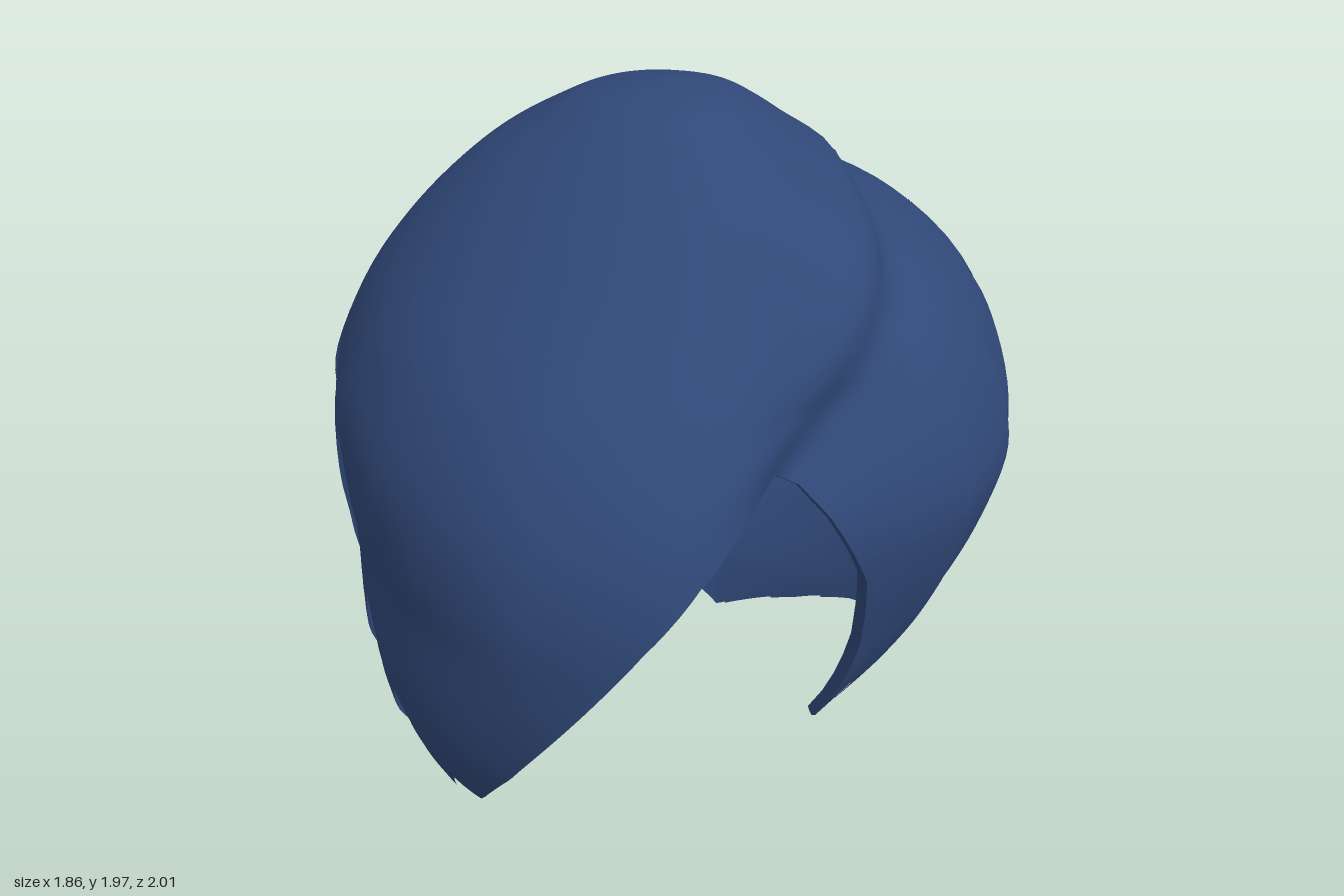
import * as THREE from 'three';
import { mergeVertices } from 'three/addons/utils/BufferGeometryUtils.js';

const rad = Math.PI / 180;
const V = (x, y, z) => new THREE.Vector3(x, y, z);
const { lerp, smoothstep } = THREE.MathUtils;

// Horizontal outline at each height: y, extent to -x, +x, front, back
const rows = [
  [1.97, 0, 0, 0, 0], [1.945, .19, .14, .16, .16], [1.885, .33, .24, .27, .28], [1.78, .5, .37, .4, .42],
  [1.6, .69, .58, .6, .72], [1.4, .84, .78, .82, .93], [1.2, .92, .89, .945, .99], [1, .91, .94, .99, .97],
  [.8, .87, .9, .985, .9], [.6, .78, .82, .96, .8], [.4, .66, .7, .91, .67], [.2, .54, .56, .82, .57], [0, .44, .44, .7, .53],
];
// Lower edge: azimuth in degrees (0 = front, 90 = +x) and height, including the face opening
const hem = [
  [-180, 0], [-170, .09], [-150, .24], [-130, .33], [-110, .37], [-75, .39], [-55, .38], [-35, .34], [-22, .28], [-15, .25],
  [-5, .45], [6, .7], [17, .95], [25, 1.1], [33, 1.2], [41, 1.25], [48, 1.19], [53, 1.09], [62, .86], [67, .6],
  [69.5, .25], [80, .29], [100, .32], [115, .3], [129, .24], [151, .12], [170, .04], [180, 0],
];
// Parting from the whorl to the top of the face opening
const whorl = V(.24, 1.69, -.48);
const parting = new THREE.CatmullRomCurve3([
  whorl, V(.4, 1.67, -.28), V(.52, 1.58, -.1), V(.58, 1.49, .1), V(.56, 1.38, .32), V(.47, 1.25, .54),
]).getPoints(90);

function hemHeight(deg) {
  for (let i = 1; i < hem.length; i++) {
    const [a, ya] = hem[i - 1], [b, yb] = hem[i];
    if (deg <= b) return ya + (yb - ya) * (deg - a) / (b - a);
  }
  return 0;
}

// Smooth interpolation along the table of outlines
function outline(k) {
  const n = rows.length - 1, i = Math.min(n - 1, Math.floor(k)), t = k - i;
  const at = j => rows[Math.max(0, Math.min(n, j))];
  return rows[0].map((_, c) => {
    const b = at(i)[c], d = at(i + 1)[c];
    const a = i === 0 ? (c ? -d : d) : at(i - 1)[c], e = at(i + 2)[c];
    return b + .5 * t * (d - a + t * (2 * a - 5 * b + 4 * d - e + t * (3 * (b - d) + e - a)));
  });
}

function levelOf(y) {
  let lo = 0, hi = rows.length - 1;
  for (let i = 0; i < 24; i++) {
    const m = (lo + hi) / 2;
    if (outline(m)[0] > y) lo = m; else hi = m;
  }
  return lo;
}

// Point on the hair surface at an azimuth and outline level
function hairPoint(deg, k, lift = 0) {
  const [y, left, right, front, back] = outline(k);
  const s = Math.sin(deg * rad), c = Math.cos(deg * rad);
  const ex = s > 0 ? right : left, ez = c > 0 ? front : back;
  // Round at the crown, flatter or fuller corners lower down, full tip of the sweep
  const sweep = lerp(2.7, 1.72, smoothstep(y, .25, .9));
  const corner = s > 0 ? (c > 0 ? 2 : 2.45) : (c > 0 ? sweep : 1.56);
  const power = lerp(corner, 2.2, smoothstep(y, 1.3, 1.85));
  const r = ex * ez === 0 ? 0 : 1 / Math.pow(Math.pow(Math.abs(s) / ex, power) + Math.pow(Math.abs(c) / ez, power), 1 / power);
  // Hollow where the sweep meets the side lock
  const depth = .21 * Math.min(1, Math.max(0, (1.75 - y) / .4)) * lerp(.55, 1, smoothstep(y, .2, .7));
  const hollow = 1 - depth * Math.exp(-Math.pow((deg - 49) / (deg < 49 ? 18.5 : 33), 2));
  const p = V(s * r * hollow, y, c * r * hollow - .05 * Math.pow(y / 1.97, 4));
  // Raised lip above the parting, groove below it, pit at the whorl
  let best = 9, near = parting[0];
  for (const q of parting) {
    const d = p.distanceTo(q);
    if (d < best) { best = d; near = q; }
  }
  const out = p.clone().sub(V(0, .9, 0)).normalize();
  const side = (p.x - near.x) * .75 - (p.y - near.y) * .65;
  const fade = Math.exp(-Math.pow(best / .17, 2));
  const pit = .04 * Math.exp(-Math.pow(p.distanceTo(whorl) / .09, 2));
  p.addScaledVector(out, fade * (-.02 - .045 * Math.tanh(side / .05)) - pit);
  return p.addScaledVector(out, lift);
}

// Grid surface from columns of points
function sheet(columns) {
  const n = columns[0].length, pos = [], idx = [];
  columns.forEach((col, i) => col.forEach((p, j) => {
    pos.push(p.x, p.y, p.z);
    if (i && j) {
      const a = (i - 1) * n + j - 1, b = a + n;
      idx.push(a, a + 1, b, b, a + 1, b + 1);
    }
  }));
  let g = new THREE.BufferGeometry();
  g.setAttribute('position', new THREE.Float32BufferAttribute(pos, 3));
  g.setIndex(idx);
  g = mergeVertices(g, 1e-5);
  g.computeVertexNormals();
  return g;
}

export function createModel() {
  const group = new THREE.Group();
  const hair = new THREE.MeshStandardMaterial({ color: 0x304878, side: THREE.DoubleSide });
  hair.name = 'navy hair';
  const add = (name, geometry) => {
    const m = new THREE.Mesh(geometry, hair);
    m.name = name;
    group.add(m);
  };

  // Azimuth samples that follow every corner of the lower edge
  const angles = [-180];
  for (let i = 1; i < hem.length; i++) {
    const a = hem[i - 1][0], b = hem[i][0], n = Math.max(4, Math.ceil((b - a) / 1.6));
    for (let j = 1; j <= n; j++) angles.push(a + (b - a) * j / n);
  }

  // Main shell of hair
  const N = 72;
  add('hairShell', sheet(angles.map(deg => {
    const end = levelOf(hemHeight(deg));
    return Array.from({ length: N + 1 }, (_, j) => hairPoint(deg, end * j / N));
  })));

  // Turned-in rim around the face opening
  const edge = angles.filter(a => a >= -15 && a <= 69.5);
  add('openingRim', sheet(edge.map(deg => {
    const p = hairPoint(deg, levelOf(hemHeight(deg)));
    const inner = (f, dy) => V(p.x * f, p.y + dy, p.z * f);
    return [p, inner(.98, -.006), inner(.965, .005), inner(.955, .02)];
  })));

  // Under layer behind the sweep, with its own cut edge
  add('sweepUnderLayer', sheet(angles.filter(a => a >= -53 && a <= 25).map(deg => {
    const start = levelOf(1.27), end = levelOf(Math.max(hemHeight(deg), .65 - (deg + 52) * .018));
    return Array.from({ length: 31 }, (_, j) => hairPoint(deg, lerp(start, end, j / 30), -.028));
  })));

  // Overlapping locks: start azimuth, width, sideways drift, top level
  const locks = [
    [-172, 16, 0, 4], [-150, 14, 0, 3.6], [-128, 14, 0, 4.2], [-108, 12, 6, 4], [-92, 12, 14, 4], [-76, 12, 24, 3.6],
    [-60, 11, 34, 3.8], [-46, 11, 40, 3.3], [-32, 12, 44, 3.8], [76, 9, 0, 5], [90, 13, 0, 4.8], [108, 13, 0, 4.6],
    [127, 14, 0, 4.5], [146, 14, 0, 4.4], [163, 14, 0, 4.2],
  ];
  const wrap = a => a > 180 ? a - 360 : a < -180 ? a + 360 : a;
  locks.forEach(([start, width, drift, top]) => {
    const cols = [];
    for (let i = 0; i <= 8; i++) {
      const u = i / 8, col = [];
      const end = levelOf(hemHeight(wrap(start + u * width)));
      for (let j = 0; j <= 30; j++) {
        const t = j / 30;
        const deg = wrap(start + u * width + drift * (1 - t));
        const lift = .001 + .012 * u * Math.sin(Math.PI * Math.min(1, t * .75));
        col.push(hairPoint(deg, top + (end - top) * t, lift));
      }
      cols.push(col);
    }
    add('hairLock', sheet(cols));
  });
  return group;
}
